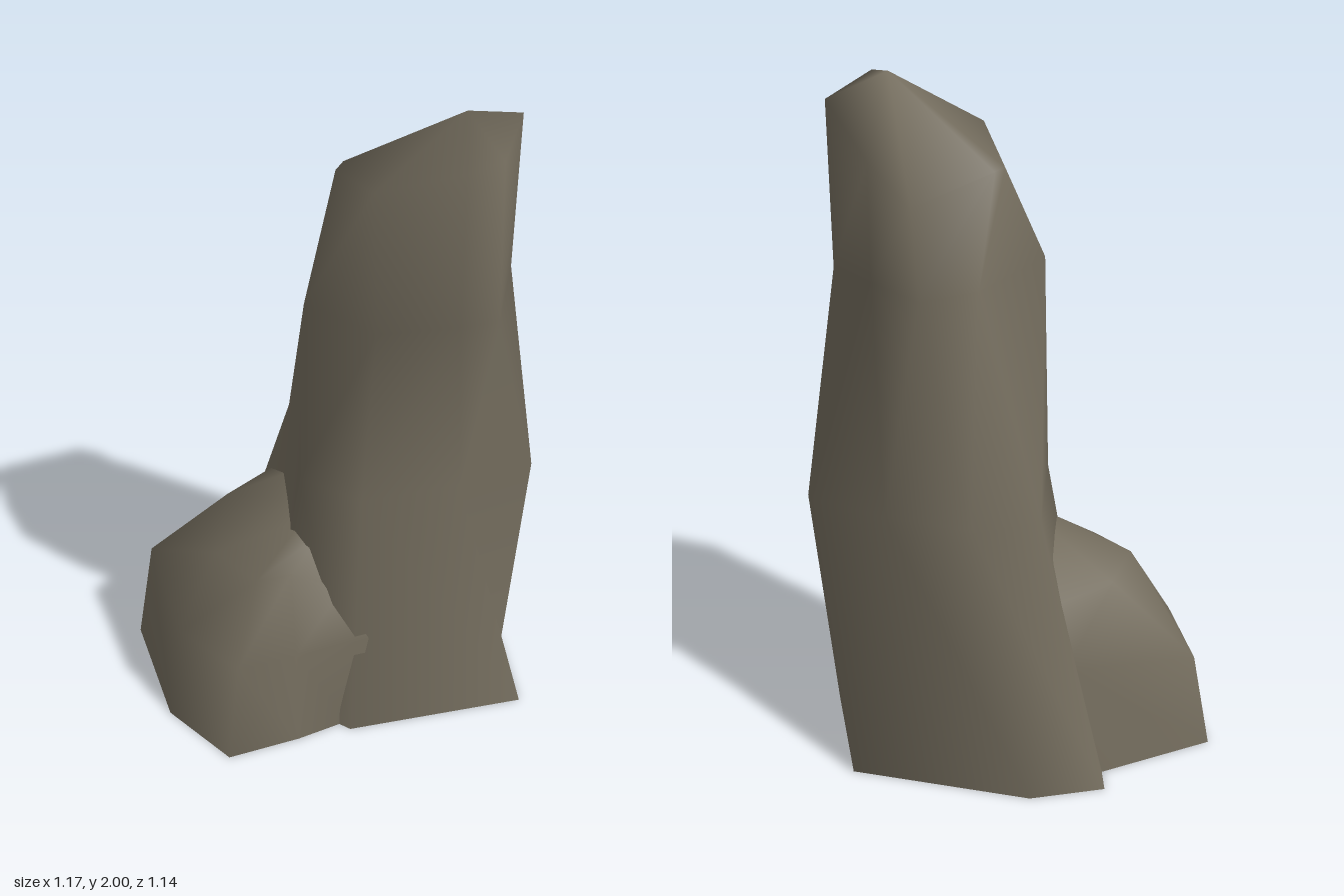
import * as THREE from 'three';

// Smooth rock skin: rows of [x, y, z] from the ground up.
// With an apex the rows are closed loops, without one they form an open shell.
function rock(name, rows, material, apex) {
  const n = rows[0].length;
  const sides = apex ? n : n - 1;
  const index = [];
  for (let r = 0; r < rows.length - 1; r++) {
    for (let i = 0; i < sides; i++) {
      const a = r * n + i, b = r * n + (i + 1) % n;
      // The bottom row splits its quads the other way, for the hollow at the foot
      if (r === 0) index.push(a, b, a + n, b, b + n, a + n);
      else index.push(a, b, b + n, a, b + n, a + n);
    }
  }
  const points = rows.flat();
  if (apex) {
    const last = (rows.length - 1) * n;
    for (let i = 0; i < n; i++) index.push(last + i, last + (i + 1) % n, points.length);
    points.push(apex);
  }
  const geometry = new THREE.BufferGeometry();
  geometry.setAttribute('position', new THREE.Float32BufferAttribute(points.flat(), 3));
  geometry.setIndex(index);
  geometry.computeVertexNormals();
  const mesh = new THREE.Mesh(geometry, material);
  mesh.name = name;
  return mesh;
}

// Level row from [x, z] corners
const level = (y, corners) => corners.map(([x, z]) => [x, y, z]);

export function createModel() {
  const group = new THREE.Group();
  group.name = 'standingStones';
  const stone = new THREE.MeshStandardMaterial({ color: 0x736c5d, side: THREE.DoubleSide });
  stone.name = 'stone';

  // Tall leaning pillar, corners running back, left, front, right
  group.add(rock('tallStone', [
    level(0, [[0.05, -0.57], [-0.41, -0.29], [-0.53, -0.1], [-0.1, 0.28], [0.225, 0.26], [0.582, -0.15], [0.4, -0.33], [0.38, -0.345]]),
    [
      ...level(0.8, [[0.05, -0.42], [-0.19, -0.305], [-0.28, -0.12], [-0.04, 0.15], [0.17, 0.13], [0.36, -0.1]]),
      ...level(0.72, [[0.43, -0.395], [0.41, -0.405]]),
    ],
    level(1.45, [[0.2, -0.32], [-0.005, -0.325], [-0.06, -0.15], [0, 0.17], [0.245, 0.175], [0.41, 0.015], [0.48, -0.07], [0.36, -0.32]]),
    [[0.2, 1.8, -0.32], [0.05, 1.7, -0.3], [-0.04, 1.77, -0.07], [-0.03, 1.77, -0.02], [0.18, 1.83, 0.1], [0.4, 1.91, 0], [0.475, 1.95, -0.06], [0.37, 1.94, -0.32]],
  ], stone, [0.3, 2, -0.15]));

  // Low boulder shell, its back edge tucked into the pillar
  group.add(rock('boulder', [
    level(0, [[-0.45, -0.09], [-0.585, 0.3], [-0.27, 0.53], [-0.005, 0.57], [0.12, 0.385], [0.2, 0.235]]),
    [[-0.38, 0.35, -0.12], [-0.565, 0.32, 0.24], [-0.28, 0.28, 0.45], [-0.04, 0.27, 0.47], [0.09, 0.31, 0.35], [0.235, 0.33, 0.18]],
    [[-0.33, 0.54, -0.12], [-0.36, 0.55, 0.1], [-0.24, 0.52, 0.31], [-0.07, 0.51, 0.33], [0.01, 0.53, 0.26], [0.12, 0.44, 0.17]],
    [[-0.31, 0.57, -0.12], [-0.21, 0.63, -0.02], [-0.11, 0.64, 0.08], [-0.03, 0.645, 0.14], [0.02, 0.6, 0.15], [0.1, 0.46, 0.16]],
  ], stone));

  return group;
}
